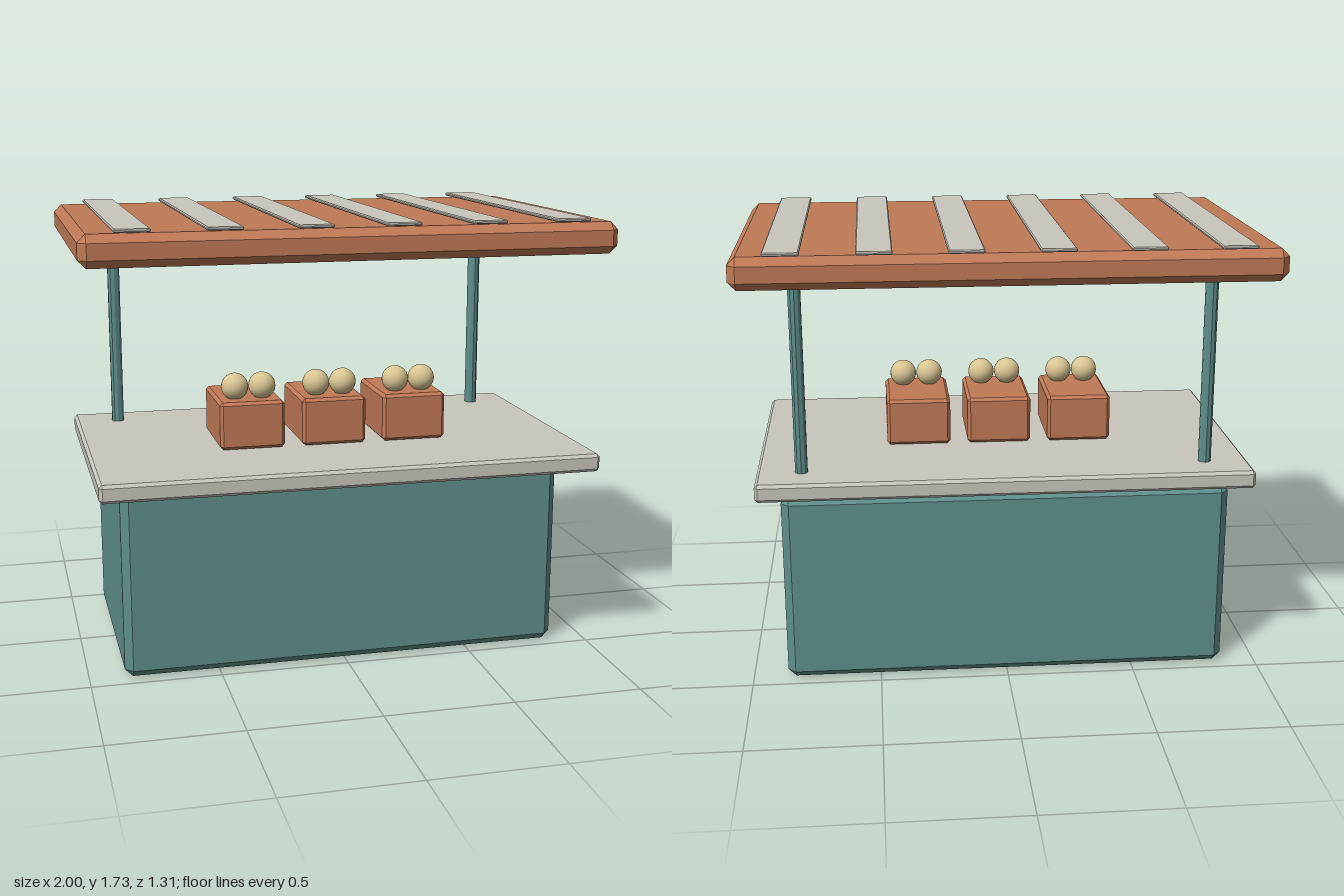
import * as THREE from 'three';
import { ConvexGeometry } from 'three/addons/geometries/ConvexGeometry.js';

// Box with every edge cut by a flat chamfer b
function chamferBox(w, h, d, b) {
  const pts = [];
  for (const sx of [-1, 1]) for (const sy of [-1, 1]) for (const sz of [-1, 1]) {
    const x = w / 2, y = h / 2, z = d / 2;
    pts.push(
      new THREE.Vector3(sx * x, sy * (y - b), sz * (z - b)),
      new THREE.Vector3(sx * (x - b), sy * y, sz * (z - b)),
      new THREE.Vector3(sx * (x - b), sy * (y - b), sz * z));
  }
  return new ConvexGeometry(pts);
}

export function createModel() {
  const group = new THREE.Group();
  const flat = (color) => new THREE.MeshStandardMaterial({ color, flatShading: true });
  const teal = flat(0x5f8f8a), clay = flat(0xc07a56), stone = flat(0xc8c6bc);
  const cream = new THREE.MeshStandardMaterial({ color: 0xd9c593 });

  const add = (name, geometry, material, x, y, z) => {
    const mesh = new THREE.Mesh(geometry, material);
    mesh.name = name;
    mesh.position.set(x, y, z);
    group.add(mesh);
  };

  // Counter and worktop
  add('counterBase', chamferBox(1.73, 0.755, 0.92, 0.03), teal, 0, 0.3785, 0);
  add('worktop', chamferBox(1.915, 0.07, 1.16, 0.012), stone, 0, 0.791, 0.075);

  // Rear posts
  const post = new THREE.CylinderGeometry(0.025, 0.025, 0.8, 10);
  for (const s of [-1, 1]) add(s > 0 ? 'leftPost' : 'rightPost', post, teal, s * 0.785, 1.21, -0.355);

  // Canopy with raised stripes
  add('canopy', chamferBox(2, 0.12, 1.3, 0.03), clay, 0, 1.652, 0);
  const stripe = chamferBox(0.13, 0.013, 1.305, 0.004);
  for (let i = 0; i < 6; i++) add('canopyStripe', stripe, stone, -0.8125 + i * 0.325, 1.7225, 0);

  // Crates, each with two round fruits
  const crate = chamferBox(0.255, 0.187, 0.35, 0.012);
  const fruit = new THREE.SphereGeometry(0.053, 24, 16);
  for (let i = -1; i <= 1; i++) {
    const x = i * 0.325 - 0.002;
    add('crate', crate, clay, x, 0.9235, 0.105);
    for (const s of [-1, 1]) add('fruit', fruit, cream, x + 0.004 - 0.004 * s + s * 0.058 - 0.004, 1.063, 0.188);
  }
  return group;
}
